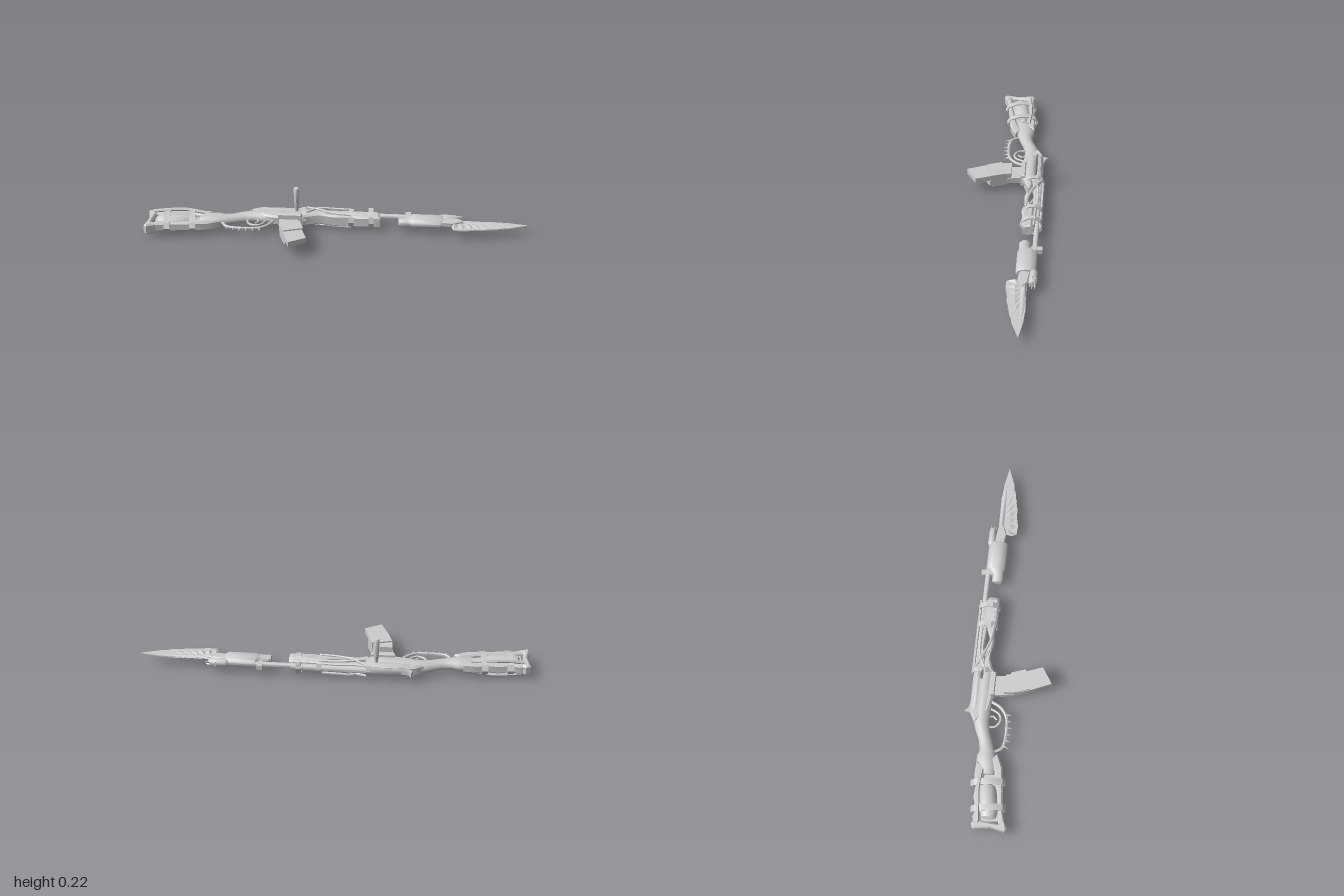
import * as THREE from 'three';
import { toCreasedNormals } from 'three/addons/utils/BufferGeometryUtils.js';
import { ConvexGeometry } from 'three/addons/geometries/ConvexGeometry.js';

// The rifle lies on its side: muzzle towards +x, its top towards -z, thickness along y.
const MID = 0.055;
const mat = new THREE.MeshStandardMaterial({ color: 0xcccccc, side: THREE.DoubleSide });

export function createModel() {
  const model = new THREE.Group();
  model.name = 'scrapRifle';

  const add = (name, geo, crease = 0.6) => {
    const mesh = new THREE.Mesh(toCreasedNormals(geo, crease), mat);
    mesh.name = name;
    model.add(mesh);
    return mesh;
  };

  // Outline in x,z extruded from y0 to y1
  const plate = (name, pts, y0, y1, bevel = 0) => {
    const shape = new THREE.Shape(pts.map(p => new THREE.Vector2(p[0], p[1])));
    const geo = new THREE.ExtrudeGeometry(shape, {
      depth: y1 - y0 - 2 * bevel, bevelEnabled: bevel > 0, bevelSize: bevel,
      bevelOffset: -bevel, bevelThickness: bevel, bevelSegments: 1,
    });
    geo.rotateX(Math.PI / 2).translate(0, y1 - bevel, 0);
    return add(name, geo);
  };

  // Elliptical rings [x, z, radiusZ, radiusY, y] joined along x, with closed ends
  const loft = (name, rings, sides = 12, crease = 0.7) => {
    const pos = [], idx = [], last = rings.length - 1;
    rings.forEach(([x, z, rz, ry, y = MID]) => {
      for (let j = 0; j < sides; j++) {
        const a = ((j + 0.5) / sides) * Math.PI * 2;
        pos.push(x, y + ry * Math.sin(a), z + rz * Math.cos(a));
      }
    });
    for (let i = 0; i < last; i++) for (let j = 0; j < sides; j++) {
      const a = i * sides + j, b = i * sides + (j + 1) % sides;
      idx.push(a, a + sides, b, b, a + sides, b + sides);
    }
    for (const i of [0, last]) {
      const c = pos.length / 3, [x, z, , , y = MID] = rings[i];
      pos.push(x, y, z);
      for (let j = 0; j < sides; j++) {
        const a = i * sides + j, b = i * sides + (j + 1) % sides;
        idx.push(c, ...(i ? [b, a] : [a, b]));
      }
    }
    const geo = new THREE.BufferGeometry();
    geo.setAttribute('position', new THREE.Float32BufferAttribute(pos, 3));
    geo.setIndex(idx);
    return add(name, geo, crease);
  };

  const tube = (name, pts, r, y = MID) => add(name, new THREE.TubeGeometry(
    new THREE.CatmullRomCurve3(pts.map(p => new THREE.Vector3(p[0], p[2] ?? y, p[1]))), 24, r, 6), 1);

  // Strap: an open ring around x, leaning with the stock
  const band = (name, x, z, rz, ry, w, lean = 0) => {
    const prof = [[1, -w / 2], [1, w / 2], [0.88, w / 2], [0.88, -w / 2], [1, -w / 2]]
      .map(([r, h]) => new THREE.Vector2(r, h));
    const geo = new THREE.LatheGeometry(prof, 10);
    geo.rotateZ(-Math.PI / 2).scale(1, ry, rz).rotateY(lean).translate(x, MID, z);
    return add(name, geo, 0.4);
  };

  // Broken stock: rails, butt and the canister held between them
  plate('buttPlate', [[-1, -0.105], [-0.975, -0.115], [-0.95, -0.1], [-0.96, -0.04], [-0.965, 0.02],
    [-0.94, 0.045], [-0.985, 0.065], [-1, 0.055], [-0.985, -0.02]], 0.025, 0.082, 0.008);
  plate('stockTopRail', [[-0.99, -0.1], [-0.94, -0.112], [-0.9, -0.1], [-0.84, -0.118], [-0.78, -0.112],
    [-0.73, -0.125], [-0.66, -0.122], [-0.68, -0.07], [-0.76, -0.08], [-0.86, -0.072], [-0.97, -0.07]],
    0.03, 0.08, 0.008);
  plate('stockBottomRail', [[-0.98, 0.055], [-0.97, 0.02], [-0.86, 0.008], [-0.72, -0.02], [-0.64, -0.05],
    [-0.61, -0.02], [-0.68, 0.012], [-0.8, 0.026], [-0.9, 0.036]], 0.03, 0.08, 0.008);
  plate('stockCore', [[-0.96, -0.08], [-0.68, -0.1], [-0.64, -0.02], [-0.95, 0.03]], 0.035, 0.062);
  loft('canister', [[-0.945, -0.032, 0.022, 0.018], [-0.935, -0.034, 0.04, 0.033], [-0.91, -0.036, 0.048, 0.04],
    [-0.8, -0.052, 0.048, 0.04], [-0.775, -0.055, 0.04, 0.033], [-0.765, -0.056, 0.018, 0.016],
    [-0.74, -0.06, 0.018, 0.016]], 14);
  for (const [x, z] of [[-0.89, -0.037], [-0.76, -0.052]]) band('stockStrap', x, z, 0.088, 0.046, 0.032, 0.12);
  for (const s of [-1, 1]) tube('stockBinding', [[-0.97, -0.085, MID + s * 0.03], [-0.9, -0.09, MID + s * 0.038],
    [-0.8, -0.098, MID + s * 0.04], [-0.7, -0.09, MID + s * 0.03]], 0.009);

  // Wrist and grip
  loft('wrist', [[-0.72, -0.065, 0.04, 0.024], [-0.68, -0.07, 0.053, 0.029], [-0.63, -0.075, 0.05, 0.031],
    [-0.6, -0.075, 0.04, 0.027], [-0.55, -0.088, 0.035, 0.026], [-0.5, -0.108, 0.037, 0.028],
    [-0.45, -0.122, 0.041, 0.03], [-0.4, -0.122, 0.044, 0.033], [-0.2, -0.12, 0.043, 0.036],
    [-0.17, -0.12, 0.035, 0.03]], 12, 1);

  // Receiver
  plate('receiver', [[-0.46, -0.155], [-0.41, -0.182], [-0.18, -0.185], [-0.16, -0.15], [-0.18, -0.082],
    [-0.32, -0.075], [-0.4, -0.09]], 0.028, 0.085, 0.01);
  loft('boltCover', [[-0.42, -0.16, 0.018, 0.022], [-0.39, -0.162, 0.026, 0.032], [-0.2, -0.162, 0.028, 0.034],
    [-0.17, -0.162, 0.02, 0.026]]);
  plate('rearSight', [[-0.4, -0.213], [-0.385, -0.195], [-0.34, -0.185], [-0.34, -0.17], [-0.41, -0.17]], 0.043, 0.067);
  plate('magazineWell', [[-0.315, -0.095], [-0.185, -0.095], [-0.19, -0.07], [-0.31, -0.07]], 0.028, 0.1, 0.004);
  const bolt = add('boltHandle', new THREE.LatheGeometry(
    [[0, 0], [0.01, 0], [0.01, 0.025], [0.0115, 0.03], [0.015, 0.135], [0.012, 0.141], [0, 0.141]]
      .map(p => new THREE.Vector2(...p)), 10));
  bolt.position.set(-0.22, 0.079, -0.147);

  // Two magazines strapped side by side
  plate('upperMagazine', [[-0.295, -0.02], [-0.2, -0.02], [-0.18, 0.055], [-0.14, 0.165], [-0.225, 0.216],
    [-0.27, 0.11], [-0.29, 0.04]], 0.071, 0.1);
  plate('lowerMagazine', [[-0.305, -0.09], [-0.205, -0.09], [-0.195, -0.01], [-0.165, 0.09], [-0.25, 0.145],
    [-0.285, 0.06], [-0.3, -0.02]], 0.039, 0.071);
  plate('magazineWrap', [[-0.291, 0.035], [-0.187, 0.005], [-0.163, 0.078], [-0.264, 0.112]], 0.035, 0.107);

  // Trigger, guard and spiked lower guard
  tube('triggerGuard', [[-0.475, -0.085], [-0.465, -0.045], [-0.43, -0.025], [-0.4, -0.035], [-0.375, -0.08]], 0.006);
  tube('trigger', [[-0.42, -0.085], [-0.415, -0.065], [-0.43, -0.045]], 0.005);
  const guardPath = [[-0.6, -0.04], [-0.575, -0.003], [-0.53, 0.009], [-0.47, 0.01], [-0.41, 0.002],
    [-0.365, -0.03], [-0.335, -0.085]];
  tube('spikedGuard', guardPath, 0.008);
  for (let i = 0; i < 6; i++) {
    const spike = add('guardSpike', new THREE.ConeGeometry(0.008, 0.034, 5));
    spike.rotation.set(Math.PI / 2, 0, (i - 2.5) * -0.1);
    spike.position.set(-0.57 + i * 0.034, MID, 0.025 - Math.abs(i - 2.5) * 0.003);
  }

  // Barrel and gas tube
  loft('barrel', [[-0.2, -0.174, 0.014, 0.014], [0.56, -0.174, 0.014, 0.014]]);
  loft('gasTube', [[-0.18, -0.192, 0.009, 0.012], [0.21, -0.192, 0.009, 0.012]], 8);
  loft('muzzle', [[0.53, -0.174, 0.014, 0.014], [0.545, -0.174, 0.022, 0.022], [0.62, -0.174, 0.02, 0.02],
    [0.63, -0.174, 0.015, 0.015]]);
  for (let i = 0; i < 5; i++) {
    const a = i / 5 * Math.PI * 2;
    const prong = add('muzzleProng', new THREE.ConeGeometry(0.01, 0.06, 4));
    prong.rotation.z = -Math.PI / 2;
    prong.position.set(0.625, MID + 0.014 * Math.sin(a), -0.174 + 0.014 * Math.cos(a));
  }

  // Splintered handguard with bindings
  plate('handguardUpper', [[-0.19, -0.185], [-0.12, -0.17], [-0.02, -0.178], [0.06, -0.17], [0.2, -0.165],
    [0.22, -0.15], [0.08, -0.142], [-0.05, -0.15], [-0.17, -0.13]], 0.03, 0.08, 0.006);
  plate('handguardBelly', [[-0.19, -0.13], [-0.13, -0.14], [-0.08, -0.125], [0, -0.125], [0.07, -0.15],
    [0.22, -0.15], [0.225, -0.098], [0.1, -0.094], [0.04, -0.105], [-0.03, -0.1], [-0.1, -0.115],
    [-0.18, -0.088]], 0.022, 0.088, 0.01);
  loft('handguardBlock', [[0.06, -0.135, 0.036, 0.03], [0.08, -0.13, 0.038, 0.037], [0.21, -0.13, 0.036, 0.036],
    [0.225, -0.13, 0.028, 0.028]], 8, 0.4);
  for (const [x, r, ry] of [[-0.18, 0.056, 0.046], [0.07, 0.056, 0.046], [0.175, 0.058, 0.055]])
    band('handguardStrap', x, -0.145, r, ry, 0.026, 0.05);
  for (const s of [-1, 1]) for (const k of [0, 1]) tube('handguardCord', [[-0.17, -0.185 + k * 0.05, MID + s * 0.03],
    [-0.1, -0.15 - k * 0.015, MID + s * 0.04], [-0.02, -0.12 - k * 0.05, MID + s * 0.036],
    [0.07, -0.11 - k * 0.06, MID + s * 0.034]], 0.007);

  // Front sight and bottle-shaped fore weight
  plate('frontSight', [[0.355, -0.21], [0.385, -0.21], [0.385, -0.15], [0.36, -0.15]], 0.043, 0.067);
  loft('bottle', [[0.32, -0.121, 0.022, 0.02], [0.33, -0.121, 0.03, 0.022], [0.365, -0.122, 0.03, 0.022],
    [0.385, -0.133, 0.04, 0.025], [0.395, -0.137, 0.051, 0.03], [0.54, -0.137, 0.051, 0.03],
    [0.552, -0.137, 0.044, 0.025]], 14);
  plate('bladeMount', [[0.54, -0.16], [0.63, -0.15], [0.66, -0.125], [0.6, -0.1], [0.54, -0.11]], 0.04, 0.07, 0.005);

  // Bayonet: thin serrated blade with fanned ridges
  plate('blade', [[0.58, -0.145], [0.83, -0.148], [0.9, -0.143], [1, -0.125], [0.9, -0.088], [0.87, -0.085],
    [0.85, -0.075], [0.8, -0.068], [0.75, -0.056], [0.72, -0.058], [0.66, -0.045], [0.61, -0.048],
    [0.625, -0.08], [0.6, -0.11]], MID - 0.003, MID + 0.003);
  const hull = (name, pts) => add(name, new ConvexGeometry(pts.map(p => new THREE.Vector3(...p))), 0.1);
  hull('bladeSpine', [[0.58, MID, -0.147], [0.6, MID + 0.013, -0.135], [0.6, MID - 0.013, -0.135],
    [0.82, MID, -0.15], [0.8, MID + 0.007, -0.135], [0.8, MID - 0.007, -0.135], [0.7, MID, -0.115], [0.995, MID, -0.125]]);
  [[0.61, -0.047], [0.66, -0.043], [0.71, -0.05], [0.76, -0.055], [0.81, -0.064], [0.87, -0.08]].forEach(([x, z], i) => {
    const rx = 0.61 + i * 0.024, mx = (x + rx) / 2, mz = (z - 0.13) / 2;
    hull('bladeRidge', [[rx, MID, -0.135], [x, MID, z], [mx - 0.012, MID, mz + 0.014], [mx + 0.03, MID, mz - 0.008],
      [mx, MID + 0.012 - i * 0.001, mz], [mx, MID - 0.012 + i * 0.001, mz]]);
  });

  return model;
}
